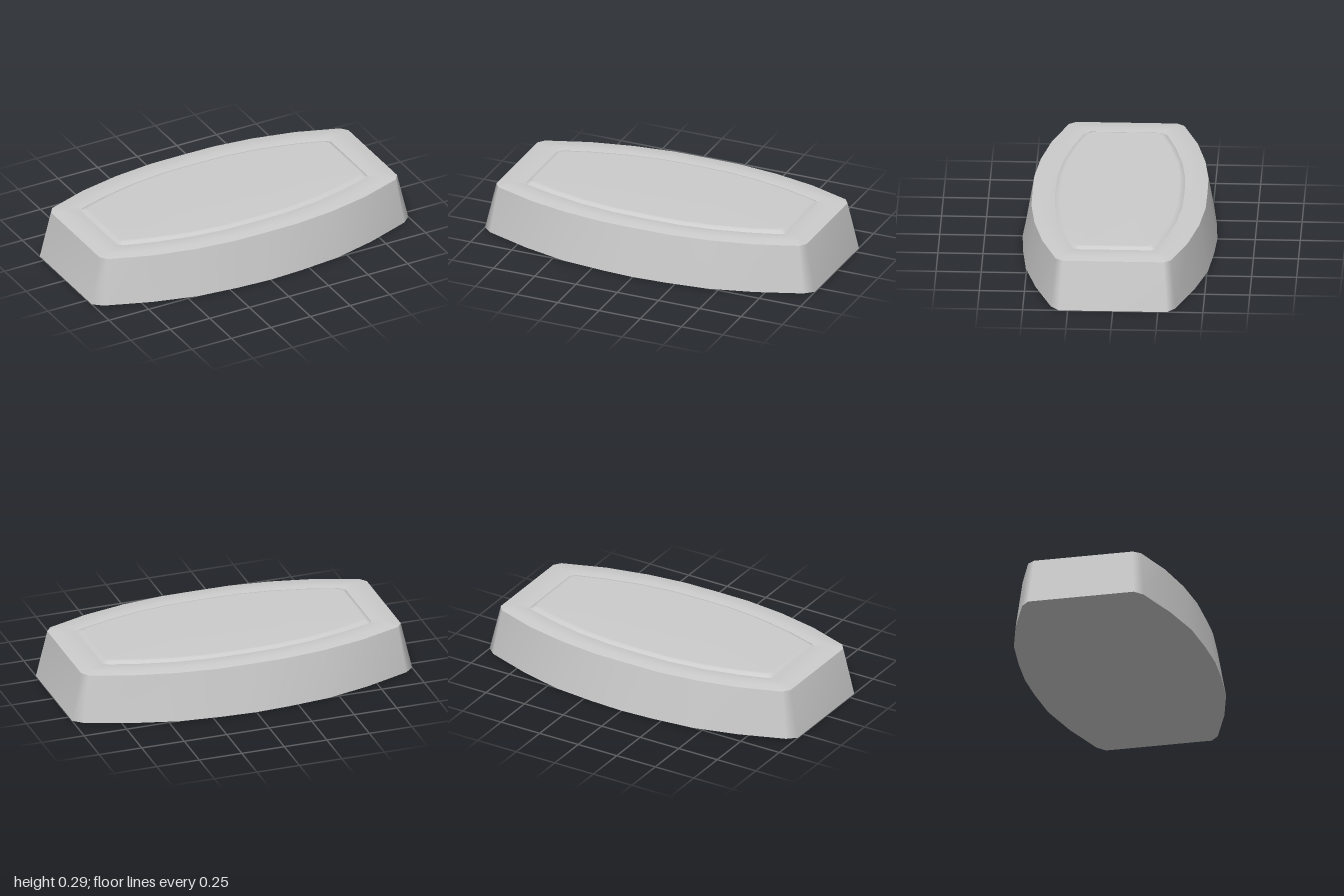
import * as THREE from 'three';

const material = new THREE.MeshStandardMaterial({ color: 0xcccccc, side: THREE.DoubleSide });

// Quarter outlines [x, z], from the end towards the middle of the long side
const FOOT = [[1, 0.3], [0.95, 0.345], [0.69, 0.44], [0.44, 0.505], [0.2, 0.53], [0, 0.54]];
const EDGE = [[0.94, 0.28], [0.91, 0.32], [0.67, 0.405], [0.43, 0.457], [0.2, 0.483], [0, 0.485]];
const PANEL = [[0.79, 0.21], [0.77, 0.232], [0.6, 0.285], [0.4, 0.33], [0.2, 0.354], [0, 0.358]];

// Mirror a quarter outline into a closed ring at height y
function ring(quarter, y, inset = 0) {
  const q = quarter.map(([x, z]) => [x - inset * x / quarter[0][0], z - inset]);
  const half = [...q, ...q.slice(0, -1).reverse().map(([x, z]) => [-x, z])];
  const all = [...half, ...half.slice().reverse().map(([x, z]) => [x, -z])];
  // the middle of each half stays a single point
  return all.map(([x, z]) => new THREE.Vector3(x, y, z));
}

// Ring part of the way between two rings, at height y
const between = (a, b, t, y) => a.map((p, i) => p.clone().lerp(b[i], t).setY(y));

// Surface through successive rings, optionally closed by a centre point
function loft(name, rings, centreY = null) {
  const n = rings[0].length, pos = [], index = [];
  rings.forEach(r => r.forEach(p => pos.push(p.x, p.y, p.z)));
  for (let k = 0; k < rings.length - 1; k++) {
    for (let i = 0; i < n; i++) {
      const j = (i + 1) % n, a = k * n + i, b = k * n + j;
      index.push(a, a + n, b, b, a + n, b + n);
    }
  }
  if (centreY !== null) {
    const c = pos.length / 3, o = (rings.length - 1) * n;
    pos.push(0, centreY, 0);
    for (let i = 0; i < n; i++) index.push(o + i, c, o + (i + 1) % n);
  }
  const g = new THREE.BufferGeometry();
  g.setAttribute('position', new THREE.Float32BufferAttribute(pos, 3));
  // rings run clockwise seen from above, so flip to face outwards
  for (let i = 0; i < index.length; i += 3) [index[i + 1], index[i + 2]] = [index[i + 2], index[i + 1]];
  g.setIndex(index);
  g.computeVertexNormals();
  const mesh = new THREE.Mesh(g, material);
  mesh.name = name;
  return mesh;
}

export function createModel() {
  const group = new THREE.Group();
  group.name = 'bowedBase';

  const foot = ring(FOOT, 0);
  const edge = ring(EDGE, 0.275);
  const groove = ring(PANEL, 0.279);

  // Sloping side wall
  group.add(loft('sideWall', [foot, edge]));

  // Soft raised rim falling into a shallow groove
  group.add(loft('rim', [
    edge,
    between(edge, groove, 0.35, 0.283),
    between(edge, groove, 0.7, 0.285),
    groove,
  ]));

  // Inset panel with a bevelled border
  group.add(loft('panel', [groove, ring(PANEL, 0.291, 0.015), ring(PANEL, 0.295, 0.03)], 0.295));

  // Flat underside
  const underside = loft('underside', [foot.slice().reverse()], 0);
  group.add(underside);

  return group;
}
